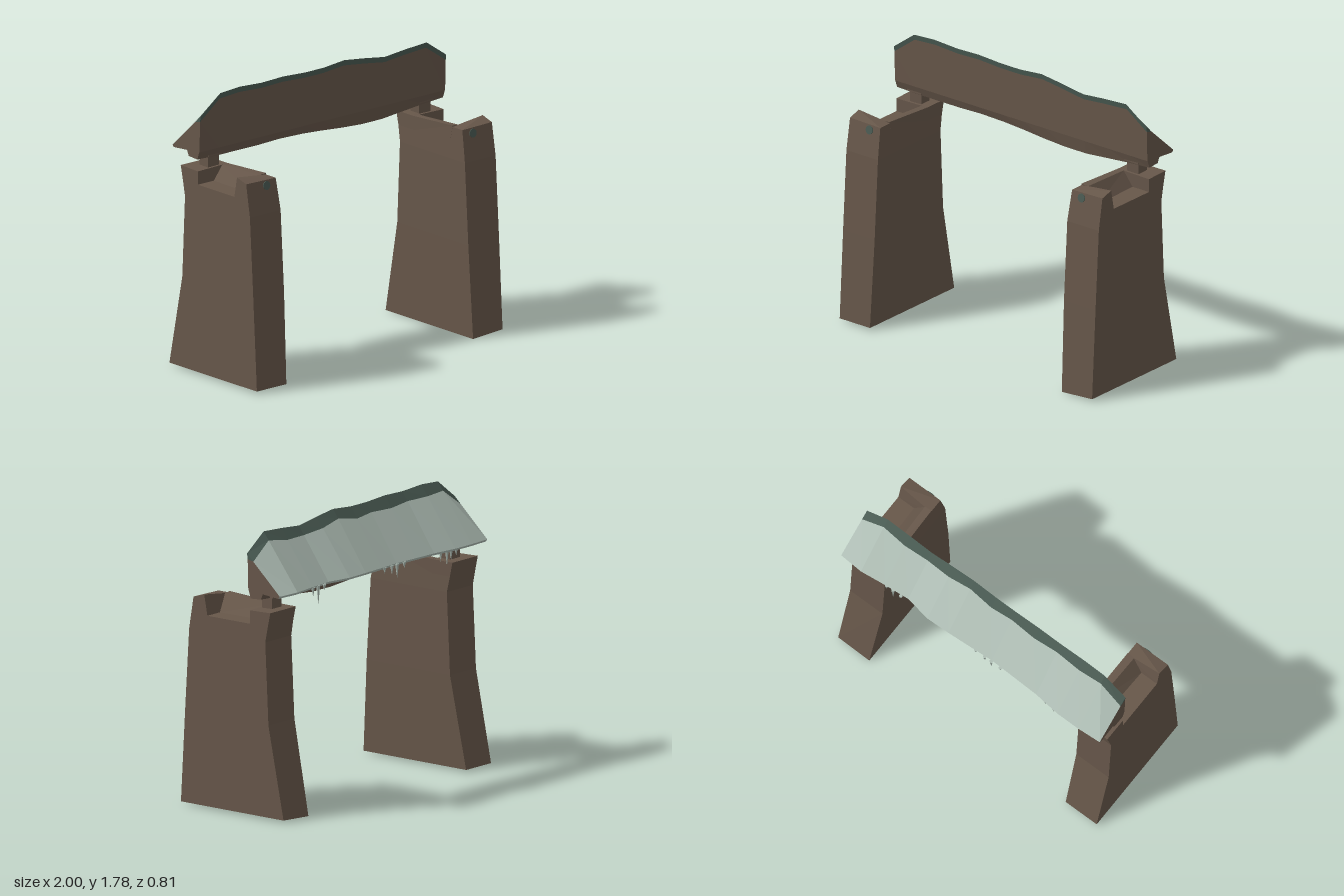
import * as THREE from 'three';

const material = (name, color) => {
  const m = new THREE.MeshStandardMaterial({ color, flatShading: true, side: THREE.DoubleSide });
  m.name = name;
  return m;
};

// Grid of points (rows of [x, y, z]) to a faceted surface; side = -1 mirrors it in x
function surface(name, rows, mat, side = 1) {
  const pos = [];
  for (let r = 0; r < rows.length - 1; r++) {
    for (let c = 0; c < rows[r].length - 1; c++) {
      const a = rows[r][c], b = rows[r][c + 1], d = rows[r + 1][c], e = rows[r + 1][c + 1];
      const order = side > 0 ? [a, b, e, a, e, d] : [a, e, b, a, d, e];
      for (const p of order) pos.push(p[0] * side, p[1], p[2]);
    }
  }
  const g = new THREE.BufferGeometry();
  g.setAttribute('position', new THREE.Float32BufferAttribute(pos, 3));
  g.computeVertexNormals();
  const mesh = new THREE.Mesh(g, mat);
  mesh.name = name;
  return mesh;
}

// Closed ring around a four-cornered level: front inner, front outer, back outer, back inner
const ring = ([a, b, c, d]) => [a, b, c, d, a];

// Block from a lower and an upper four-cornered level, open below
function block(name, low, top, mat, side) {
  const g = new THREE.Group();
  g.name = name;
  g.add(surface(name + 'Walls', [ring(low), ring(top)], mat, side));
  g.add(surface(name + 'Top', [[top[0], top[1]], [top[3], top[2]]], mat, side));
  return g;
}

export function createModel() {
  const model = new THREE.Group();
  const wood = material('brownWood', 0x67574a);
  const moss = material('darkGreen', 0x4a5b53);
  const frost = material('paleFrost', 0xafbeb5);

  for (const side of [1, -1]) {
    const pillar = new THREE.Group();
    pillar.name = side > 0 ? 'leftPillar' : 'rightPillar';

    // Tapering hollow body: [y, front z, back z, inner x]
    const levels = [
      [0.02, 0.41, -0.405, 0.76], [0.6, 0.377, -0.285, 0.75],
      [1.12, 0.345, -0.26, 0.75], [1.22, 0.328, -0.28, 0.755],
    ].map(([y, zf, zb, x]) => [[x, y, zf], [1, y, zf], [1, y, zb], [x, y, zb]]);
    if (side > 0) levels[0][0][1] = levels[0][3][1] = 0.005;
    pillar.add(surface('pillarBody', levels.map(ring), wood, side));

    // Floor of the trough and the three raised edges around it
    const f = levels[3];
    pillar.add(surface('troughFloor', [[f[0], f[1]], [f[3], f[2]]], wood, side));
    pillar.add(block('frontLip',
      [[0.755, 1.22, 0.328], [1, 1.22, 0.328], [1, 1.22, 0.2], [0.755, 1.22, 0.2]],
      [[0.76, 1.32, 0.31], [1, 1.325, 0.31], [1, 1.35, 0.225], [0.76, 1.32, 0.215]], wood, side));
    pillar.add(block('backLip',
      [[0.755, 1.22, -0.14], [1, 1.22, -0.14], [1, 1.22, -0.28], [0.755, 1.22, -0.28]],
      [[0.755, 1.31, -0.14], [1, 1.305, -0.14], [1, 1.31, -0.3], [0.755, 1.31, -0.3]], wood, side));
    pillar.add(block('innerLip',
      [[0.755, 1.22, 0.2], [0.88, 1.22, 0.2], [0.87, 1.22, -0.14], [0.755, 1.22, -0.14]],
      [[0.76, 1.33, 0.22], [0.81, 1.325, 0.22], [0.8, 1.31, -0.14], [0.755, 1.31, -0.14]], wood, side));

    // Small post carrying the beam
    for (const [name, w, h, d, y] of [['post', 0.09, 0.13, 0.08, 1.345], ['postCap', 0.11, 0.04, 0.11, 1.4]]) {
      const m = new THREE.Mesh(new THREE.BoxGeometry(w, h, d), wood);
      m.name = name;
      m.position.set(0.86 * side, y, -0.195);
      pillar.add(m);
    }

    // Rounded green patch on the front
    const patch = new THREE.Mesh(new THREE.CylinderGeometry(0.028, 0.028, 0.006, 10), moss);
    patch.name = 'mossPatch';
    patch.rotation.x = Math.PI / 2 - 0.167;
    patch.position.set(0.84 * side, 1.288, 0.318);
    pillar.add(patch);
    model.add(pillar);
  }

  // Beam stations: [x, ridge y, back edge z, keel bottom y]
  const stations = [
    [-1, 1.66, -0.375, 1.38], [-0.84, 1.78, -0.385, 1.375], [-0.68, 1.79, -0.385, 1.375],
    [-0.5, 1.78, -0.365, 1.375], [-0.33, 1.785, -0.36, 1.38], [-0.15, 1.775, -0.355, 1.375],
    [0, 1.775, -0.365, 1.365], [0.17, 1.79, -0.375, 1.35], [0.33, 1.77, -0.38, 1.34],
    [0.5, 1.745, -0.35, 1.34], [0.67, 1.76, -0.365, 1.355], [0.84, 1.77, -0.385, 1.37],
    [1, 1.66, -0.375, 1.38],
  ];
  const sections = stations.map(([x, y, z], i) => {
    const mz = i % 2 ? -0.155 : -0.165;
    const t = (mz + 0.115) / (z + 0.115);
    return [
      [x, y, -0.115], [x, y - 0.035, -0.12], [x, 1.43, -0.125], [x, 1.41, z + 0.01],
      [x, 1.425, z], [x, y + (1.425 - y) * t, mz], [x, y, -0.115],
    ];
  });
  const beam = new THREE.Group();
  beam.name = 'beam';
  [['frontEdge', moss], ['frontFace', wood], ['underside', wood],
    ['frostRim', frost], ['frostSlope', frost], ['ridgeBand', moss]].forEach(([name, mat], j) =>
    beam.add(surface(name, sections.map((s) => [s[j], s[j + 1]]), mat)));

  // Beam end faces
  for (const side of [1, -1]) {
    const s = sections[side > 0 ? stations.length - 1 : 0].map(([, y, z]) => [1, y, z]);
    beam.add(surface('beamEnd', [[s[2], s[3], s[4]], [s[1], s[5], s[5]]], wood, side));
    beam.add(surface('beamEndTip', [[s[1], s[5]], [s[0], s[0]]], moss, side));
  }

  // Keel along the bottom of the beam
  const keel = stations.map(([x, , , y]) =>
    [[x, 1.435, -0.126], [x, y, -0.145], [x, y + 0.005, -0.225], [x, 1.43, -0.245]]);
  beam.add(surface('keel', keel, wood));
  for (const side of [1, -1]) {
    const k = keel[side > 0 ? keel.length - 1 : 0].map(([, y, z]) => [1, y, z]);
    beam.add(surface('keelEnd', [[k[1], k[2]], [k[0], k[3]]], wood, side));
  }
  model.add(beam);

  // Icicles hanging from the back edge: [x, length]
  const icicles = new THREE.Group();
  icicles.name = 'icicles';
  for (const [x, len] of [[-0.72, 0.05], [-0.67, 0.07], [-0.63, 0.1], [-0.57, 0.06], [-0.22, 0.04],
    [-0.15, 0.09], [-0.1, 0.06], [-0.03, 0.04], [0.55, 0.04], [0.61, 0.12], [0.66, 0.06]]) {
    const m = new THREE.Mesh(new THREE.ConeGeometry(0.013, len, 5), frost);
    m.name = 'icicle';
    m.rotation.x = Math.PI;
    m.position.set(x, 1.422 - len / 2, -0.36);
    icicles.add(m);
  }
  model.add(icicles);
  return model;
}
